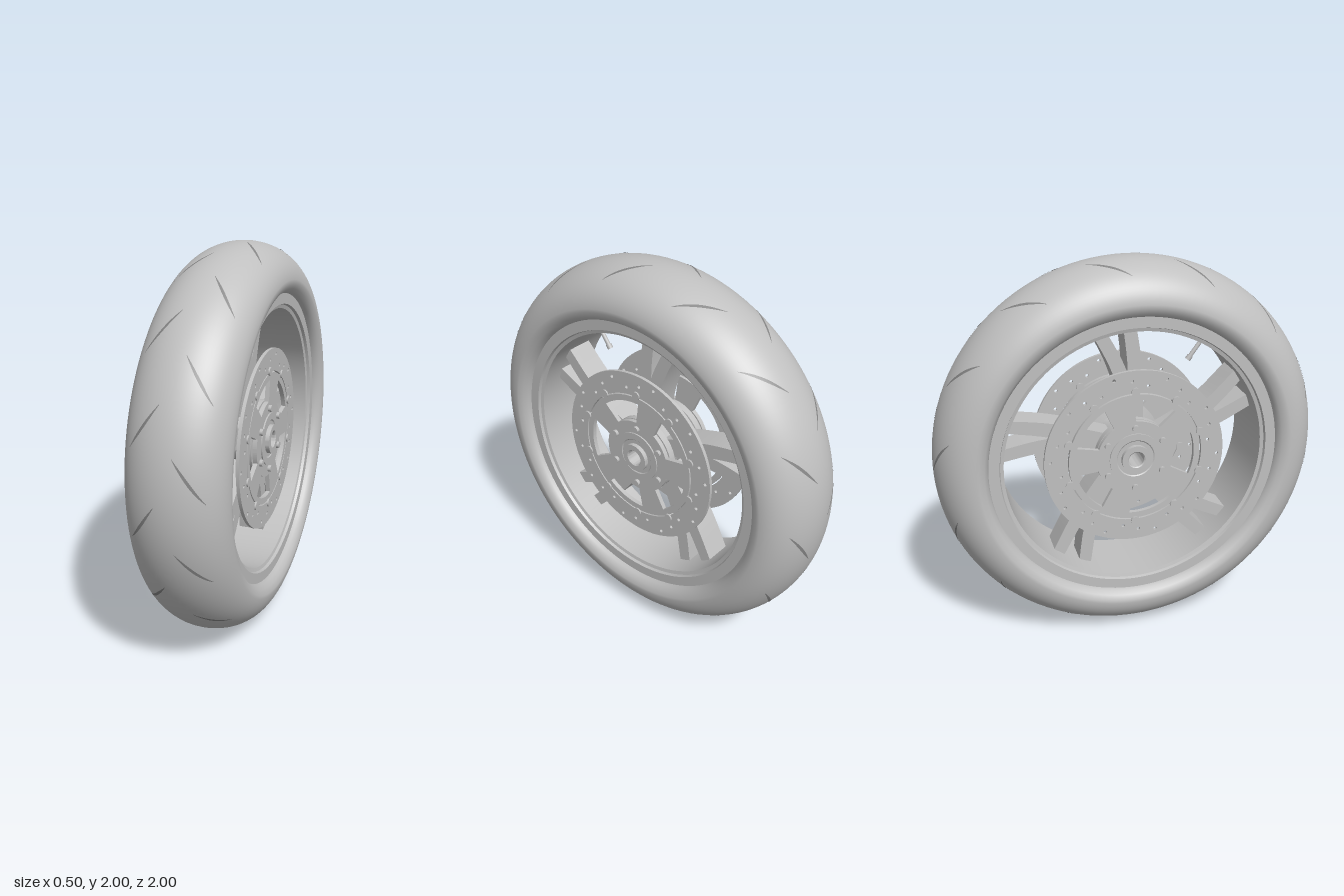
import * as THREE from 'three';
import { toCreasedNormals } from 'three/addons/utils/BufferGeometryUtils.js';

const grey = new THREE.MeshStandardMaterial({ color: 0xc0c0c0 });
grey.name = 'light grey';
const grooveGrey = new THREE.MeshStandardMaterial({ color: 0x858585, side: THREE.DoubleSide });
grooveGrey.name = 'groove grey';

const TAU = Math.PI * 2;
const rad = (d) => d * Math.PI / 180;

// The wheel is built with its axle along z, then turned so the axle lies along x.
export function createModel() {
  const model = new THREE.Group();
  const wheel = new THREE.Group();
  wheel.name = 'wheel';
  wheel.rotation.y = Math.PI / 2;
  wheel.position.y = 1;
  model.add(wheel);

  const add = (name, geometry, material = grey, parent = wheel) => {
    const mesh = new THREE.Mesh(geometry, material);
    mesh.name = name;
    parent.add(mesh);
    return mesh;
  };
  // Revolve [radius, z] points round the axle.
  const lathe = (points, segments) =>
    new THREE.LatheGeometry(points.map(([r, z]) => new THREE.Vector2(r, z)), segments).rotateX(Math.PI / 2);
  const extrude = (shape, z0, z1, curveSegments = 24) =>
    toCreasedNormals(new THREE.ExtrudeGeometry(shape, { depth: z1 - z0, bevelEnabled: false, curveSegments })
      .translate(0, 0, z0), 0.6);

  // Tyre: elliptical crown with sidewalls tucked in to the rim
  const crown = (z) => 0.80 + 0.20 * Math.sqrt(Math.max(0, 1 - (z / 0.25) ** 2));
  const side = [[0.745, 0.17], [0.747, 0.195], [0.755, 0.218], [0.772, 0.238]];
  const tyre = side.map(([r, z]) => [r, -z]);
  for (let i = 0; i <= 36; i++) {
    const a = Math.PI * i / 36;
    tyre.push([0.80 + 0.20 * Math.sin(a), -0.25 * Math.cos(a)]);
  }
  tyre.push(...side.slice().reverse());
  add('tyre', lathe(tyre, 120));

  // Tread grooves: thin tapered strips, staggered on the two sides
  const groove = (s, start) => {
    const pos = [], index = [], n = 12;
    for (let i = 0; i <= n; i++) {
      const t = i / n, z = s * (0.04 + 0.14 * t), r = crown(z) + 0.002;
      const mid = start - rad(11.5) * t;
      const half = 0.012 * Math.sin(Math.PI * (0.04 + 0.92 * t));
      for (const a of [mid - half, mid + half]) pos.push(-r * Math.cos(a), r * Math.sin(a), z);
      if (i < n) {
        const k = i * 2;
        index.push(k, k + 1, k + 2, k + 1, k + 3, k + 2);
      }
    }
    const g = new THREE.BufferGeometry();
    g.setAttribute('position', new THREE.Float32BufferAttribute(pos, 3));
    g.setIndex(index);
    g.computeVertexNormals();
    return g;
  };
  for (let i = 0; i < 14; i++) {
    add('treadGroove', groove(1, TAU * (i + 0.5) / 14), grooveGrey);
    add('treadGroove', groove(-1, TAU * i / 14), grooveGrey);
  }

  // Rim: barrel with a stepped flange on each edge
  const flange = [[0.75, 0.15], [0.75, 0.2], [0.695, 0.2], [0.69, 0.185], [0.672, 0.18]];
  const rim = [...flange.slice().reverse().map(([r, z]) => [r, -z]), ...flange, [0.672, -0.18]];
  add('rim', toCreasedNormals(lathe(rim, 96), 0.4));

  // Hub: hollow axle sleeve, collars and flanges
  const half = [[0.14, 0.06], [0.15, 0.09], [0.2, 0.1], [0.2, 0.135], [0.135, 0.135], [0.135, 0.172],
    [0.1, 0.172], [0.095, 0.168], [0.075, 0.168], [0.075, 0.19], [0.045, 0.19], [0.04, 0.185]];
  const hub = [...half.slice().reverse().map(([r, z]) => [r, -z]), ...half, [0.04, -0.185]];
  add('hub', toCreasedNormals(lathe(hub, 48), 0.4));

  // Spokes: five pairs of curved bars
  const spokeShape = (points, w0, w1) => {
    const curve = new THREE.CatmullRomCurve3(points.map(([x, y]) => new THREE.Vector3(x, y, 0)));
    const left = [], right = [], n = 12;
    for (let i = 0; i <= n; i++) {
      const p = curve.getPoint(i / n), t = curve.getTangent(i / n);
      const w = (w0 + (w1 - w0) * i / n) / 2;
      left.push(new THREE.Vector2(p.x - t.y * w, p.y + t.x * w));
      right.push(new THREE.Vector2(p.x + t.y * w, p.y - t.x * w));
    }
    return new THREE.Shape([...right, ...left.reverse()]);
  };
  const spokes = [
    spokeShape([[-0.02, 0.12], [-0.025, 0.3], [-0.02, 0.48], [0.008, 0.69]], 0.09, 0.065),
    spokeShape([[-0.01, 0.16], [0.02, 0.32], [0.075, 0.48], [0.172, 0.67]], 0.08, 0.065),
  ].map((s) => extrude(s, -0.07, 0.07));
  for (let i = 0; i < 5; i++) {
    for (const g of spokes) add('spoke', g).rotation.z = TAU * i / 5;
  }

  // Brake disc ring with drilled holes
  const ring = new THREE.Shape().absarc(0, 0, 0.47, 0, TAU);
  ring.holes.push(new THREE.Path().absarc(0, 0, 0.352, 0, TAU, true));
  for (let i = 0; i < 30; i++) {
    const a = TAU * (i + 0.3) / 30, r = [0.44, 0.415, 0.39][i % 3];
    ring.holes.push(new THREE.Path().absarc(r * Math.cos(a), r * Math.sin(a), 0.009, 0, TAU, true));
  }
  const ringGeometry = extrude(ring, 0.148, 0.165, 40);

  // Disc carrier with five windows
  const carrier = new THREE.Shape().absarc(0, 0, 0.345, 0, TAU);
  carrier.holes.push(new THREE.Path().absarc(0, 0, 0.1, 0, TAU, true));
  for (let i = 0; i < 5; i++) {
    const c = rad(110) + TAU * i / 5;
    const hole = new THREE.Path();
    hole.absarc(0, 0, 0.312, c - rad(22), c + rad(22), false);
    hole.absarc(0, 0, 0.2, c + rad(19), c - rad(19), true);
    hole.closePath();
    carrier.holes.push(hole);
  }
  const carrierGeometry = extrude(carrier, 0.142, 0.165, 32);

  // Each side: disc, carrier, floating buttons and hub bolts
  const button = new THREE.CylinderGeometry(0.022, 0.022, 0.034, 16).rotateX(Math.PI / 2);
  const bolt = new THREE.CylinderGeometry(0.018, 0.018, 0.03, 12).rotateX(Math.PI / 2);
  for (const s of [1, -1]) {
    const brake = new THREE.Group();
    brake.name = s > 0 ? 'leftBrake' : 'rightBrake';
    brake.scale.z = s;
    wheel.add(brake);
    add('brakeDisc', ringGeometry, grey, brake);
    add('discCarrier', carrierGeometry, grey, brake);
    const circle = (name, geometry, count, r, z) => {
      for (let i = 0; i < count; i++) {
        const a = Math.PI / 2 + TAU * i / count;
        add(name, geometry, grey, brake).position.set(r * Math.cos(a), r * Math.sin(a), z);
      }
    };
    circle('discButton', button, 10, 0.36, 0.156);
    circle('hubBolt', bolt, 6, 0.165, 0.166);
  }

  // Valve stem with cap
  const valve = new THREE.Group();
  valve.name = 'valve';
  valve.rotation.z = rad(36);
  wheel.add(valve);
  add('valveStem', new THREE.CylinderGeometry(0.011, 0.011, 0.12, 12), grey, valve).position.y = 0.62;
  add('valveCap', new THREE.CylinderGeometry(0.015, 0.015, 0.025, 12), grey, valve).position.y = 0.56;

  return model;
}
